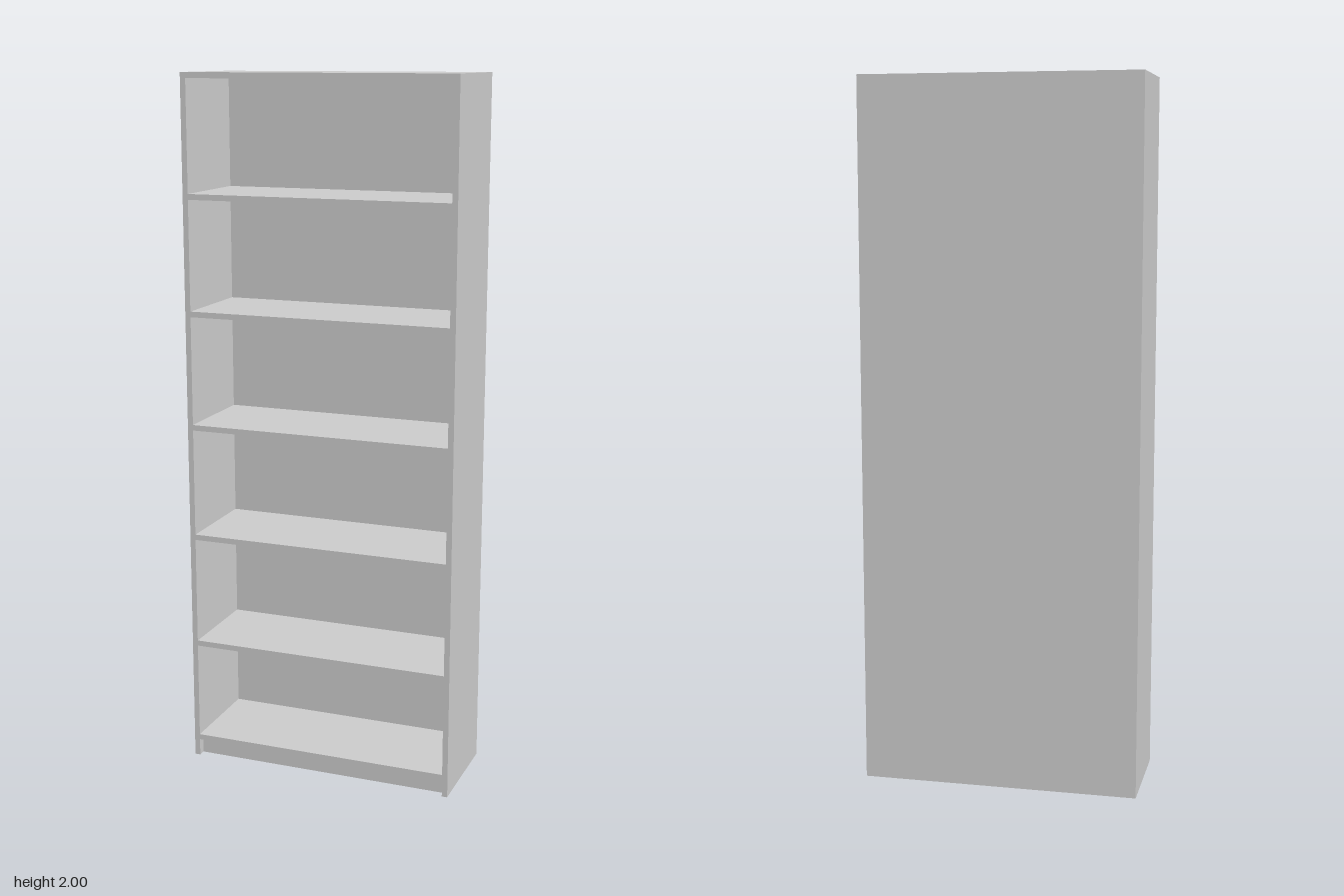
import * as THREE from 'three';

const W = 0.79, H = 2, D = 0.302;    // overall size
const T = 0.016;                     // board thickness
const BACK = 0.022;                  // back panel thickness
const KICK = 0.05, RECESS = 0.022;   // kick plinth height and setback
const PITCH = 0.327;                 // shelf spacing

export function createModel() {
  const group = new THREE.Group();
  const material = new THREE.MeshStandardMaterial({ color: 0xcccccc });

  const addBoard = (name, w, h, d, x, y, z) => {
    const mesh = new THREE.Mesh(new THREE.BoxGeometry(w, h, d), material);
    mesh.name = name;
    mesh.position.set(x, y, z);
    group.add(mesh);
  };

  const inner = W - 2 * T;
  const innerDepth = D - BACK;
  const innerZ = BACK / 2;

  // Full-height sides
  for (const [name, s] of [['leftSide', 1], ['rightSide', -1]]) {
    addBoard(name, T, H, D, s * (W - T) / 2, H / 2, 0);
  }

  // Back panel between the sides
  addBoard('backPanel', inner, H, BACK, 0, H / 2, (BACK - D) / 2);

  // Top board and five evenly spaced shelves below it
  for (let i = 0; i < 6; i++) {
    const y = H - T / 2 - i * PITCH;
    addBoard(i === 0 ? 'topBoard' : `shelf${i}`, inner, T, innerDepth, 0, y, innerZ);
  }

  // Bottom shelf over a closed, set-back plinth
  addBoard('bottomShelf', inner, T, innerDepth, 0, KICK + T / 2, innerZ);
  addBoard('plinth', inner, KICK, innerDepth - RECESS, 0, KICK / 2, innerZ - RECESS / 2);

  return group;
}
